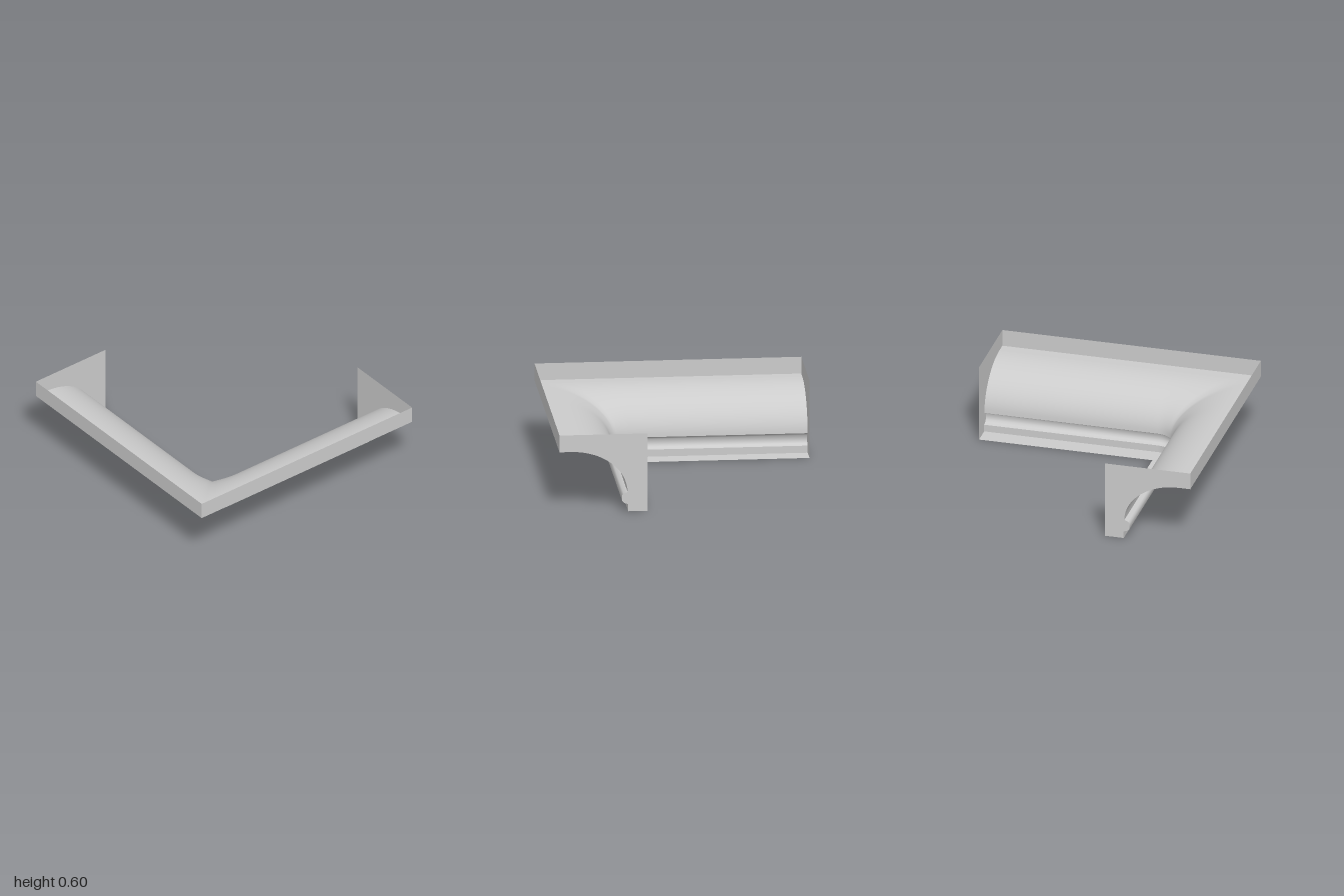
import * as THREE from 'three';
import { toCreasedNormals } from 'three/addons/utils/BufferGeometryUtils.js';

// Inner corner of the moulding; profile distances r are measured outwards from it
const CX = -0.34, CZ = 0.34, REACH = 0.66, NECK = 0.15;
const CORNER_STEPS = 16;

const material = new THREE.MeshStandardMaterial({ color: 0xcccccc, side: THREE.DoubleSide });

// Profile sections as [r, y], from the bottom upwards
const base = [[0, 0], [0.145, 0], [0.145, 0.055]];
const bead = [[0.145, 0.055], [0.175, 0.065], [0.19, 0.08], [0.19, 0.125], [0.18, 0.138], [NECK, 0.15]];
const cove = [];
for (let i = 0; i <= 16; i++) {
  const t = (i / 16) * Math.PI / 2;
  cove.push([NECK + 0.42 * (1 - Math.cos(t)), 0.15 + 0.32 * Math.sin(t)]);
}
const fascia = [[0.57, 0.47], [REACH, 0.47], [REACH, 0.6]];

// Sweep stations: back end, round the corner, right-hand end
const stations = [{ angle: 0, end: 'back' }];
for (let i = 0; i <= CORNER_STEPS; i++) stations.push({ angle: (i / CORNER_STEPS) * Math.PI / 2 });
stations.push({ angle: Math.PI / 2, end: 'side' });

// The neck turns in an arc; everything beyond it stretches out to a square corner
function place(r, y, { angle, end }) {
  const c = Math.cos(angle), s = Math.sin(angle);
  if (end === 'back') return [CX - r, y, -1];
  if (end === 'side') return [1, y, CZ + r];
  const limit = REACH / Math.max(c, s);
  const k = y >= 0.15 && r > NECK ? (limit - NECK) / (REACH - NECK) : 1;
  const d = r > NECK ? NECK + (r - NECK) * k : r;
  return [CX - d * c, y, CZ + d * s];
}

function sweep(name, profile, crease) {
  const positions = [], index = [];
  const n = stations.length;
  for (const [r, y] of profile) for (const st of stations) positions.push(...place(r, y, st));
  for (let i = 0; i < profile.length - 1; i++) {
    for (let j = 0; j < n - 1; j++) {
      const a = i * n + j, b = a + 1, c = a + n, d = c + 1;
      index.push(a, b, d, a, d, c);
    }
  }
  const geometry = new THREE.BufferGeometry();
  geometry.setAttribute('position', new THREE.Float32BufferAttribute(positions, 3));
  geometry.setIndex(index);
  const mesh = new THREE.Mesh(toCreasedNormals(geometry, crease), material);
  mesh.name = name;
  return mesh;
}

// Flat end plate with the full profile; sign mirrors it for the other arm
function endCap(name, sign, turn, x, z) {
  const outline = [...base, ...bead.slice(1), ...cove.slice(1), ...fascia, [0, 0.6]]
    .map(([r, y]) => new THREE.Vector2(sign * r, y))
    .filter((p, i, all) => i === 0 || p.distanceTo(all[i - 1]) > 1e-5);
  const mesh = new THREE.Mesh(new THREE.ShapeGeometry(new THREE.Shape(outline)), material);
  mesh.name = name;
  mesh.rotation.y = turn;
  mesh.position.set(x, 0, z);
  return mesh;
}

export function createModel() {
  const group = new THREE.Group();
  group.name = 'corniceCorner';
  group.add(
    sweep('base', base, 0.6),
    sweep('bead', bead, 1.0),
    sweep('cove', cove, 0.9),
    sweep('fascia', fascia, 0.6),
    endCap('backEndCap', 1, Math.PI, CX, -1),
    endCap('sideEndCap', -1, Math.PI / 2, 1, CZ)
  );
  return group;
}
